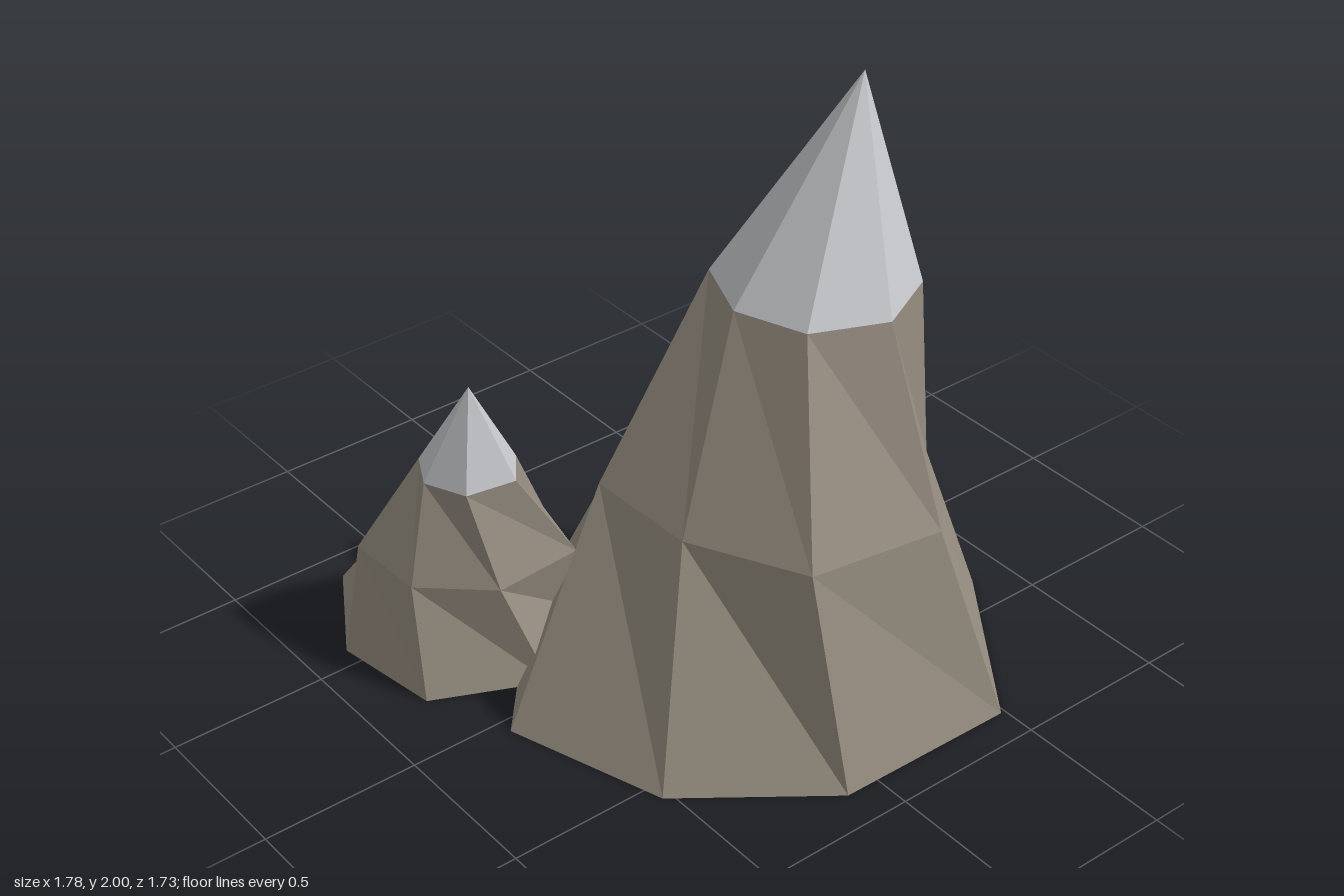
import * as THREE from 'three';

// Rings are [x, z] corners, counter-clockwise from above, starting at the front.
const LARGE = {
  name: 'largePeak',
  heights: [0, 0.72, 1.36],
  rings: [
    [[0.05, 0.695], [0.56, 0.53], [0.88, 0.11], [0.89, -0.485], [0.37, -0.865], [-0.21, -0.64], [-0.44, -0.16], [-0.37, 0.33]],
    [[0.03, 0.34], [0.4, 0.33], [0.75, 0.155], [0.815, -0.265], [0.495, -0.505], [0.135, -0.52], [-0.117, -0.32], [-0.175, 0.025]],
    [[0.13, 0.02], [0.345, 0.108], [0.56, 0.03], [0.655, -0.19], [0.55, -0.4], [0.345, -0.475], [0.165, -0.37], [0.1, -0.19]],
  ],
  apex: [0.423, 2, -0.27],
};

const SMALL = {
  name: 'smallPeak',
  heights: [0, 0.375, 0.71],
  rings: [
    [[-0.217, 0.81], [-0.06, 0.47], [-0.23, 0.13], [-0.575, 0.065], [-0.85, 0.305], [-0.895, 0.67], [-0.57, 0.865]],
    [[-0.285, 0.795], [-0.11, 0.6], [-0.13, 0.31], [-0.37, 0.255], [-0.57, 0.35], [-0.64, 0.565], [-0.555, 0.805]],
    [[-0.295, 0.725], [-0.165, 0.667], [-0.14, 0.51], [-0.245, 0.435], [-0.38, 0.435], [-0.44, 0.55], [-0.41, 0.665]],
  ],
  apex: [-0.213, 1.035, 0.61],
};

// Separate triangles give each facet its own flat normal.
function facetMesh(triangles, material, name) {
  const geometry = new THREE.BufferGeometry();
  geometry.setAttribute('position', new THREE.Float32BufferAttribute(triangles.flat(2), 3));
  geometry.computeVertexNormals();
  const mesh = new THREE.Mesh(geometry, material);
  mesh.name = name;
  return mesh;
}

function createPeak({ name, heights, rings, apex }, rock, snow) {
  const levels = rings.map((ring, k) => ring.map(([x, z]) => [x, heights[k], z]));
  const count = levels[0].length;
  const slopes = [];
  const cap = [];
  for (let i = 0; i < count; i++) {
    const j = (i + 1) % count;
    // Twisted rock bands between neighbouring rings
    for (let k = 0; k < levels.length - 1; k++) {
      const low = levels[k], high = levels[k + 1];
      slopes.push([low[i], low[j], high[i]], [low[j], high[j], high[i]]);
    }
    // Flat underside
    if (i > 0 && j > 0) slopes.push([levels[0][0], levels[0][j], levels[0][i]]);
    // Snow cone up to the summit
    const rim = levels[levels.length - 1];
    cap.push([rim[i], rim[j], apex]);
  }
  const peak = new THREE.Group();
  peak.name = name;
  peak.add(facetMesh(slopes, rock, 'rockSlopes'), facetMesh(cap, snow, 'snowCap'));
  return peak;
}

export function createModel() {
  const rock = new THREE.MeshStandardMaterial({ color: 0x988f82 });
  rock.name = 'rock';
  const snow = new THREE.MeshStandardMaterial({ color: 0xc8cacd });
  snow.name = 'snow';
  rock.flatShading = snow.flatShading = true;

  const model = new THREE.Group();
  model.name = 'mountains';
  model.add(createPeak(LARGE, rock, snow), createPeak(SMALL, rock, snow));
  return model;
}
